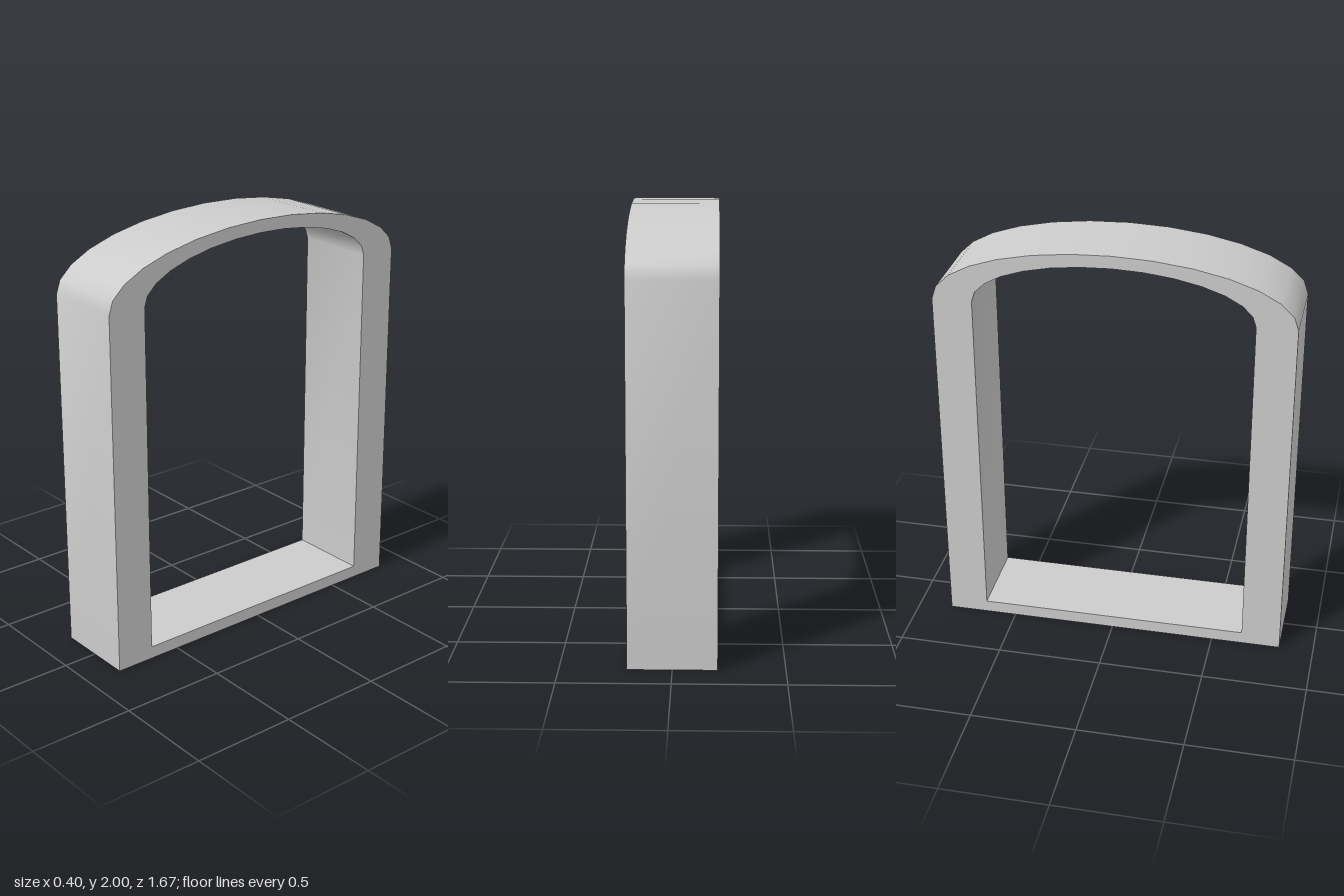
import * as THREE from 'three';
import { toCreasedNormals } from 'three/addons/utils/BufferGeometryUtils.js';

const WIDTH = 0.4;
const SPRING_Y = 1.72; // height where the arched top begins

// Straight-sided outline closed by a half-ellipse on top
function archOutline(path, halfSpan, bottom, rise) {
  path.moveTo(-halfSpan, bottom);
  path.lineTo(halfSpan, bottom);
  path.lineTo(halfSpan, SPRING_Y);
  path.absellipse(0, SPRING_Y, halfSpan, rise, 0, Math.PI, false, 0);
  path.lineTo(-halfSpan, bottom);
  return path;
}

export function createModel() {
  const group = new THREE.Group();
  group.name = 'archedFrame';

  // Outer outline with the opening cut through it
  const outline = archOutline(new THREE.Shape(), 0.835, 0, 0.28);
  outline.holes.push(archOutline(new THREE.Path(), 0.648, 0.06, 0.22));

  const extruded = new THREE.ExtrudeGeometry(outline, {
    depth: WIDTH, bevelEnabled: false, curveSegments: 7,
  });
  extruded.translate(0, 0, -WIDTH / 2);
  extruded.rotateY(-Math.PI / 2); // the opening faces sideways, along x

  // Smooth arch, sharp rims and corners
  const frame = new THREE.Mesh(
    toCreasedNormals(extruded, 0.7),
    new THREE.MeshStandardMaterial({ color: 0xcccccc }),
  );
  frame.name = 'frame';
  group.add(frame);
  return group;
}
